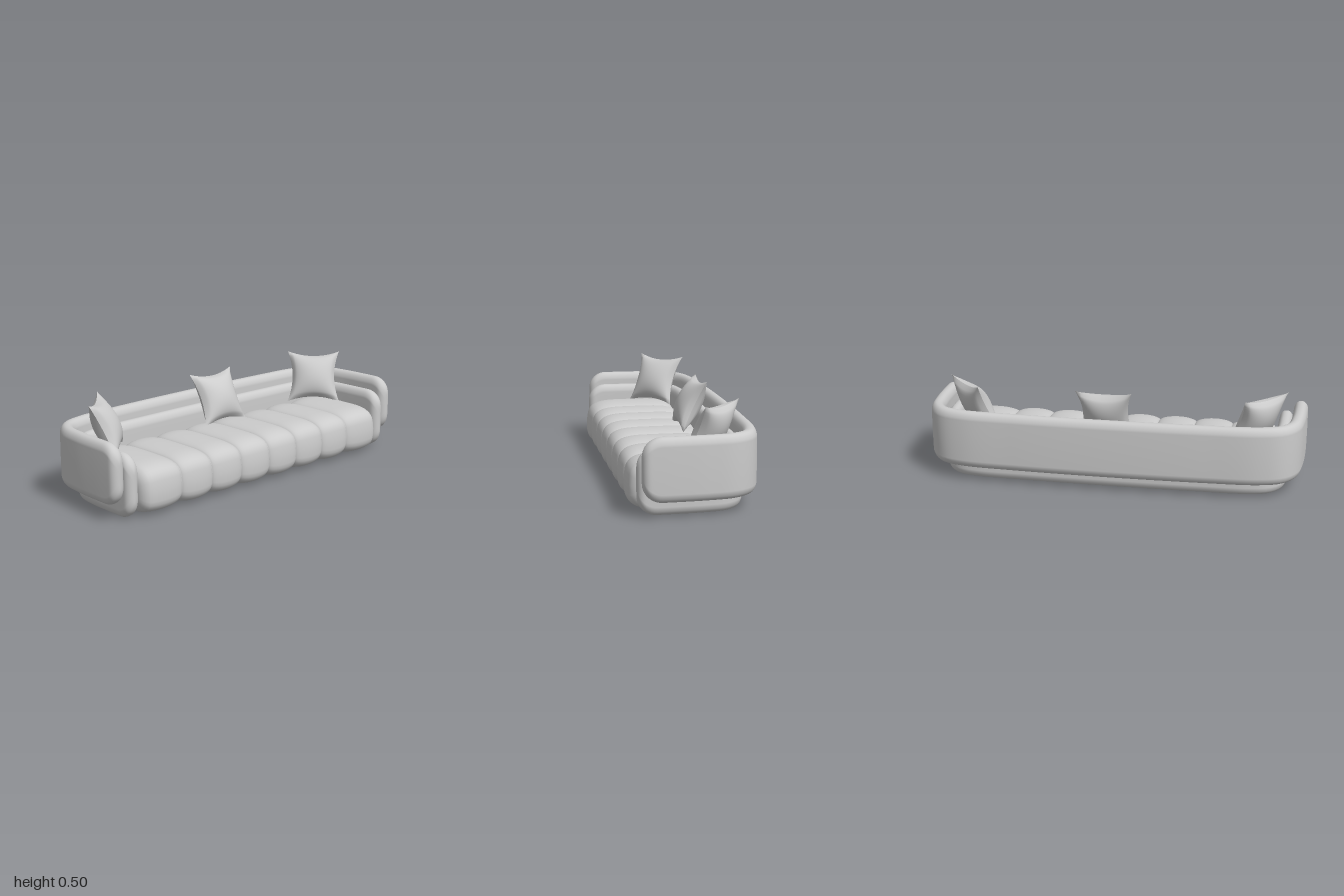
import * as THREE from 'three';
import { mergeGeometries } from 'three/addons/utils/BufferGeometryUtils.js';

const material = new THREE.MeshStandardMaterial({ color: 0xcccccc, roughness: 0.8 });

function addMesh(parent, geometry, name) {
  const mesh = new THREE.Mesh(geometry, material);
  mesh.name = name;
  parent.add(mesh);
  return mesh;
}

// Closed skin through a row of rings, with a fan at each end
function loft(rings) {
  const n = rings[0].length;
  const points = rings.flat();
  const index = [];
  for (let i = 0; i < rings.length - 1; i++) {
    for (let j = 0; j < n; j++) {
      const a = i * n + j, b = i * n + (j + 1) % n;
      index.push(a, a + n, b, b, a + n, b + n);
    }
  }
  [0, rings.length - 1].forEach((r, end) => {
    const centre = points.length;
    const mid = rings[r].reduce((s, p) => s.add(p), new THREE.Vector3()).divideScalar(n);
    points.push(mid);
    for (let j = 0; j < n; j++) {
      const a = r * n + j, b = r * n + (j + 1) % n;
      index.push(centre, end ? b : a, end ? a : b);
    }
  });
  const geometry = new THREE.BufferGeometry().setFromPoints(points);
  geometry.setIndex(index);
  geometry.computeVertexNormals();
  return geometry;
}

// How far a rounded corner of radius r sets the outline back at distance d from its end
const roundInset = (d, r) => (d >= r ? 0 : r - Math.sqrt(r * r - (r - d) ** 2));

// Upholstered band bent in a U: plan gives [x, z] from the left front to the middle of the back
function wrapGeometry(plan, y0, y1, halfThick) {
  const half = plan.map(([x, z]) => new THREE.Vector3(x, 0, z));
  const mirrored = half.slice(0, -1).reverse().map((p) => new THREE.Vector3(-p.x, 0, p.z));
  const curve = new THREE.CatmullRomCurve3([...half, ...mirrored], false, 'centripetal');
  curve.arcLengthDivisions = 600;
  const length = curve.getLength();
  const tip = 0.095, halfHeight = (y1 - y0) / 2, midY = (y0 + y1) / 2;
  const stops = [];
  for (let k = 0; k < 12; k++) stops.push(tip * (k / 12) ** 2);
  for (let k = 0; k <= 100; k++) stops.push(tip + (length - 2 * tip) * k / 100);
  for (let k = 11; k >= 0; k--) stops.push(length - tip * (k / 12) ** 2);
  const rings = stops.map((s) => {
    const u = Math.min(1, s / length);
    const p = curve.getPointAt(u), t = curve.getTangentAt(u);
    const d = Math.max(0, Math.min(s, length - s));
    const h = halfHeight - roundInset(d, tip);
    const w = halfThick - roundInset(d, halfThick);
    const ring = [];
    for (let j = 0; j < 28; j++) {
      const a = j / 28 * Math.PI * 2, c = Math.cos(a), sn = Math.sin(a);
      const r = Math.min(0.055, h);
      const y = Math.abs(sn) < 1e-6 ? 0 : Math.sign(sn) * (h - r) + r * sn;
      const side = Math.sign(c) * Math.abs(c) ** 0.85 * w;
      ring.push(new THREE.Vector3(p.x - t.z * side, midY + y, p.z + t.x * side));
    }
    return ring;
  });
  return loft(rings);
}

// Seat with puffed channels running front to back
function seatGeometry() {
  const seams = [-0.845, -0.6, -0.4, -0.2, 0, 0.2, 0.4, 0.6, 0.845];
  const rings = [];
  const steps = 16;
  for (let s = 0; s < 8; s++) {
    for (let k = s ? 1 : 0; k <= steps; k++) {
      const t = -Math.cos(k / steps * Math.PI);
      const x = seams[s] + (seams[s + 1] - seams[s]) * (t + 1) / 2;
      const puff = 0.026 * (1 - Math.sqrt(1 - Math.min(1, t * t) * 0.99));
      const inset = Math.max(puff, roundInset(Math.max(0, 0.845 - Math.abs(x)), 0.065));
      const ring = [];
      for (let j = 0; j < 40; j++) {
        const a = j / 40 * Math.PI * 2, c = Math.cos(a), sn = Math.sin(a);
        const z = Math.sign(c) * Math.abs(c) ** 0.45 * (0.255 - inset);
        const y = Math.sign(sn) * Math.abs(sn) ** 0.5 * (0.126 - inset);
        // The front face leans back slightly towards the top
        ring.push(new THREE.Vector3(x, 0.128 + y, 0.073 + z - (z > 0 ? 0.12 * Math.max(0, y) : 0)));
      }
      rings.push(ring);
    }
  }
  return loft(rings);
}

// Square pillow with drawn-out corners and hollow edges
function pillowGeometry(size, thick) {
  const front = new THREE.PlaneGeometry(2, 2, 20, 20);
  const back = front.clone().rotateY(Math.PI);
  [front, back].forEach((g, i) => {
    const p = g.attributes.position;
    for (let k = 0; k < p.count; k++) {
      const u = p.getX(k), v = p.getY(k);
      const bulge = Math.max(0, (1 - u * u) * (1 - v * v)) ** 0.55;
      p.setXYZ(k,
        u * size / 2 * (1 - 0.19 * (1 - v * v)),
        v * size / 2 * (1 - 0.19 * (1 - u * u)),
        (i ? -1 : 1) * thick / 2 * bulge);
    }
    g.computeVertexNormals();
  });
  return mergeGeometries([front, back]);
}

export function createModel() {
  const sofa = new THREE.Group();
  sofa.name = 'sofa';

  addMesh(sofa, seatGeometry(), 'seat');

  // Raised outer band and lower inner band, each forming both arms and the back
  addMesh(sofa, wrapGeometry(
    [[0.963, 0.285], [0.962, 0.12], [0.955, -0.03], [0.935, -0.15], [0.88, -0.225],
      [0.77, -0.264], [0.5, -0.282], [0, -0.291]], 0.08, 0.387, 0.038), 'outerBackAndArms');
  addMesh(sofa, wrapGeometry(
    [[0.888, 0.298], [0.886, 0.12], [0.88, -0.03], [0.862, -0.12], [0.81, -0.178],
      [0.72, -0.203], [0.45, -0.213], [0, -0.218]], 0.003, 0.325, 0.037), 'innerBackAndArms');

  // Pillows leaning on the back and in both corners
  const pillow = pillowGeometry(0.295, 0.13);
  const places = [
    ['middlePillow', 0.037, 0.37, -0.125, 0],
    ['rightPillow', -0.752, 0.373, -0.085, Math.PI / 4],
    ['leftPillow', 0.748, 0.373, -0.085, -Math.PI / 4],
  ];
  for (const [name, x, y, z, turn] of places) {
    const mesh = addMesh(sofa, pillow, name);
    mesh.position.set(x, y, z);
    mesh.rotation.set(-0.45, turn, 0, 'YXZ');
  }
  return sofa;
}
